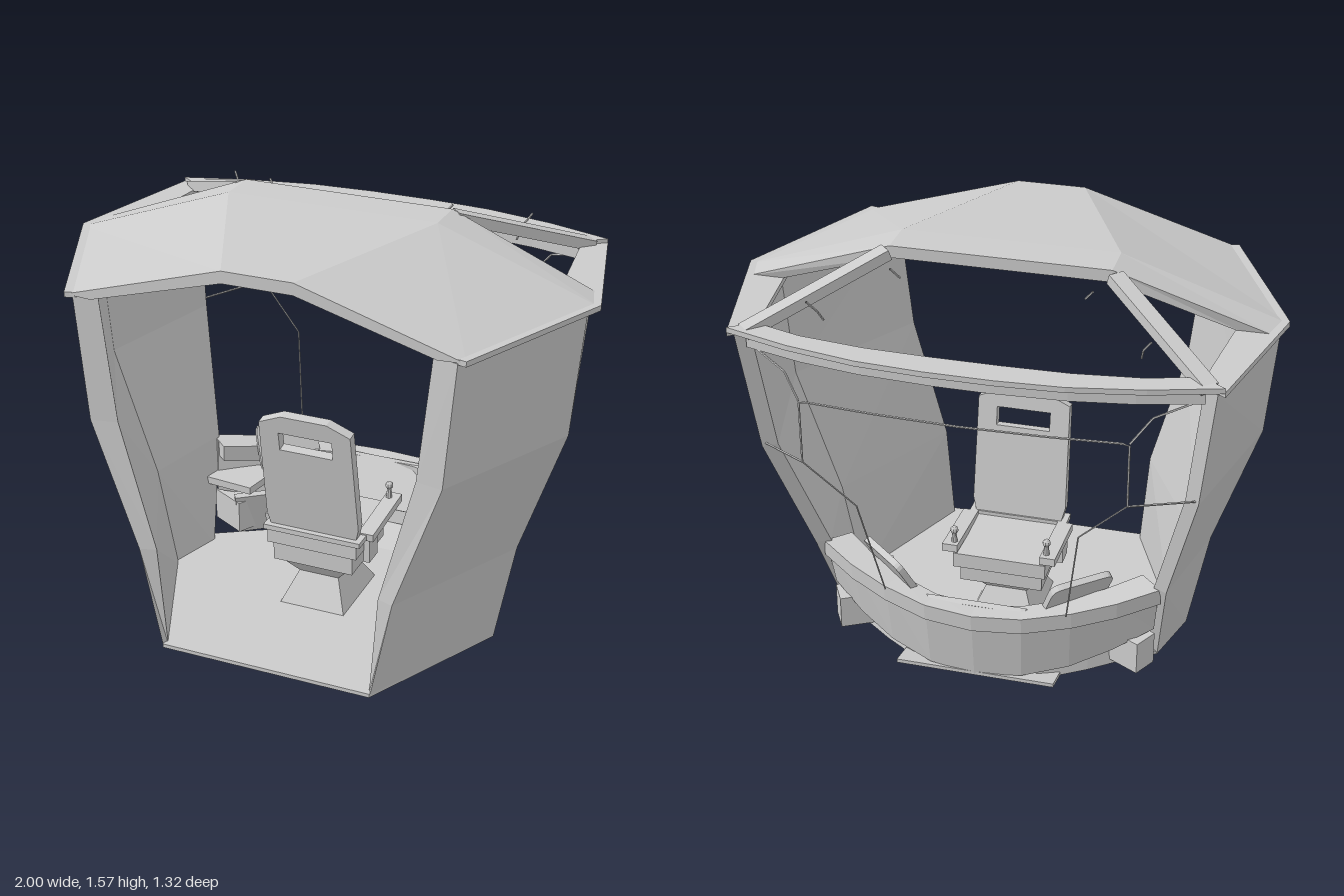
import * as THREE from 'three';

const mat = new THREE.MeshStandardMaterial({ color: 0xcccccc, flatShading: true, side: THREE.DoubleSide });
const V = (p) => new THREE.Vector3(...p);

// Solid skinned over closed loops of equal point count, capped at both ends
function loft(sections) {
  const pos = [];
  const n = sections[0].length;
  const tri = (a, b, c) => pos.push(...a, ...b, ...c);
  for (let s = 0; s < sections.length - 1; s++) {
    const A = sections[s], B = sections[s + 1];
    for (let i = 0; i < n; i++) {
      const j = (i + 1) % n;
      tri(A[i], A[j], B[j]);
      tri(A[i], B[j], B[i]);
    }
  }
  // each loop runs out along one skin and back along the other
  for (const [S, flip] of [[sections[0], true], [sections[sections.length - 1], false]]) {
    for (let i = 0; i < n / 2 - 1; i++) {
      const q = [S[i], S[i + 1], S[n - 2 - i], S[n - 1 - i]];
      if (flip) q.reverse();
      tri(q[0], q[1], q[2]);
      tri(q[0], q[2], q[3]);
    }
  }
  const g = new THREE.BufferGeometry();
  g.setAttribute('position', new THREE.Float32BufferAttribute(pos, 3));
  g.computeVertexNormals();
  return g;
}

// Horizontal plate from a plan outline of [x, z]
function slab(outline, y0, y1) {
  const shape = new THREE.Shape(outline.map(([x, z]) => new THREE.Vector2(x, -z)));
  return new THREE.ExtrudeGeometry(shape, { depth: y1 - y0, bevelEnabled: false })
    .rotateX(-Math.PI / 2).translate(0, y0, 0);
}

// Half outline mirrored into a whole closed one
const mirrorPlan = (half) => [...half, ...half.map(([x, z]) => [-x, z]).reverse()];

function box(w, h, d, x, y, z, rx = 0, ry = 0) {
  return new THREE.BoxGeometry(w, h, d).rotateX(rx).rotateY(ry).translate(x, y, z);
}

// Square bar between two points
function bar(a, b, w, h = w) {
  const o = new THREE.Object3D();
  o.position.copy(V(a)).lerp(V(b), 0.5);
  o.lookAt(V(b));
  o.updateMatrix();
  return new THREE.BoxGeometry(w, h, V(a).distanceTo(V(b))).applyMatrix4(o.matrix);
}

function wire(points, r = 0.004) {
  const path = new THREE.CurvePath();
  for (let i = 1; i < points.length; i++) path.add(new THREE.LineCurve3(V(points[i - 1]), V(points[i])));
  return new THREE.TubeGeometry(path, points.length * 8, r, 5);
}

function roundedRect(w, h, r) {
  const s = new THREE.Shape();
  s.moveTo(-w / 2 + r, -h / 2).lineTo(w / 2 - r, -h / 2).quadraticCurveTo(w / 2, -h / 2, w / 2, -h / 2 + r)
    .lineTo(w / 2, h / 2 - r).quadraticCurveTo(w / 2, h / 2, w / 2 - r, h / 2)
    .lineTo(-w / 2 + r, h / 2).quadraticCurveTo(-w / 2, h / 2, -w / 2, h / 2 - r)
    .lineTo(-w / 2, -h / 2 + r).quadraticCurveTo(-w / 2, -h / 2, -w / 2 + r, -h / 2);
  return s;
}

function plate(shape, depth) {
  return new THREE.ExtrudeGeometry(shape, { depth, bevelEnabled: false, curveSegments: 4 }).translate(0, 0, -depth / 2);
}

export function createModel() {
  const root = new THREE.Group();
  const add = (name, geo, parent = root) => {
    const m = new THREE.Mesh(geo, mat);
    m.name = name;
    parent.add(m);
    return m;
  };
  // Adds the +x part and its reflection
  const addPair = (name, geo, parent = root) => {
    add(name + 'Left', geo, parent);
    const g = geo.index ? geo.toNonIndexed() : geo.clone();
    g.scale(-1, 1, 1);
    const p = g.attributes.position, a = new THREE.Vector3(), b = new THREE.Vector3();
    for (let i = 0; i < p.count; i += 3) {
      a.fromBufferAttribute(p, i + 1);
      b.fromBufferAttribute(p, i + 2);
      p.setXYZ(i + 1, b.x, b.y, b.z);
      p.setXYZ(i + 2, a.x, a.y, a.z);
    }
    g.computeVertexNormals();
    add(name + 'Right', g, parent);
  };

  // Floor
  add('floor', slab(mirrorPlan([[0.41, 0.655], [0.69, 0.11], [0.62, -0.13], [0.3, -0.32]]), 0, 0.015));

  // Side walls: [y, front x, middle x, rear x, rear z]
  const levels = [[0, 0.41, 0.69, 0.62, -0.13], [0.4, 0.49, 0.765, 0.67, -0.3],
    [0.89, 0.66, 0.93, 0.79, -0.46], [1.355, 0.7, 0.97, 0.84, -0.515]];
  addPair('sideWall', loft(levels.map(([y, xf, xm, xr, zr], i) => [
    [xf, y, 0.65], [xm, y, 0.11], [xr, y, zr],
    [xr - 0.05, y, zr + 0.03], [xm - 0.06, y, 0.1], [xf - [0.01, 0.06, 0.1, 0.09][i], y, 0.63],
  ])));

  // Roof canopy: eave and ridge points on the outer skin, then the inner skin
  const roofSection = (ex, ez, rx, ry, rz) => [
    [-ex, 1.36, ez], [-rx, ry, rz], [rx, ry, rz], [ex, 1.36, ez],
    [ex - 0.1, 1.355, ez], [rx, ry - 0.045, rz], [-rx, ry - 0.045, rz], [-ex + 0.1, 1.355, ez]];
  add('roofCanopy', loft([roofSection(0.97, -0.06, 0.4, 1.57, -0.12),
    roofSection(1.0, 0.05, 0.4, 1.57, 0.03), roofSection(0.73, 0.65, 0.13, 1.54, 0.65)]));

  // Eave ring and rear header
  const outer = [[0.73, 0.655], [1, 0.05], [0.865, -0.52], [0.62, -0.595], [0.36, -0.645], [0.12, -0.66]];
  const inner = [[0.12, -0.552], [0.36, -0.545], [0.6, -0.515], [0.78, -0.46], [0.84, 0.05], [0.63, 0.63]];
  addPair('eaveRing', slab([[0.73, 0.655], [1, 0.05], [0.865, -0.52], [0.78, -0.46], [0.84, 0.05], [0.63, 0.63]], 1.35, 1.37));
  add('rearHeaderPlate', slab([...outer.slice(2), ...outer.slice(2).map(([x, z]) => [-x, z]).reverse(),
    ...inner.slice(0, 4).map(([x, z]) => [-x, z]).reverse(), ...inner.slice(0, 4)], 1.365, 1.385));
  const hOut = [[0.8, -0.505], [0.58, -0.565], [0.36, -0.6], [0.1, -0.615]];
  const hIn = [[0.1, -0.55], [0.36, -0.545], [0.58, -0.515], [0.77, -0.47]];
  add('rearHeaderBeam', slab([...hOut, ...hOut.map(([x, z]) => [-x, z]).reverse(),
    ...hIn.map(([x, z]) => [-x, z]).reverse(), ...hIn], 1.31, 1.366));

  // Sloping roof struts, with small hooks
  addPair('roofStrut', bar([0.41, 1.545, -0.12], [0.81, 1.365, -0.5], 0.06, 0.04));
  addPair('strutHook', wire([[0.33, 1.5, -0.22], [0.36, 1.54, -0.24]]));
  addPair('rearHook', wire([[0.56, 1.385, -0.38], [0.57, 1.43, -0.41], [0.6, 1.475, -0.435]]));

  // Curved rear apron: [x, z, top, bottom]
  const half = [[0.64, -0.27, 0.39, 0.19], [0.5, -0.37, 0.37, 0.14], [0.35, -0.445, 0.35, 0.09],
    [0.18, -0.505, 0.335, 0.06], [0, -0.525, 0.33, 0.05]];
  const span = [...half, ...half.slice(0, 4).reverse().map(([x, ...r]) => [-x, ...r])];
  add('rearApron', loft(span.map(([x, z, t, b]) => [
    [x, t, z], [x * 0.97, b, z + 0.035], [x * 0.93, b, z + 0.07], [x * 0.95, t, z + 0.035]])));
  add('apronRim', loft(span.map(([x, z, t]) => [
    [x * 1.01, t + 0.005, z - 0.005], [x * 1.01, t - 0.06, z - 0.002],
    [x * 0.88, t - 0.06, z + 0.075], [x * 0.88, t + 0.005, z + 0.075]])));

  // Under-dash shelf, supports and foot blocks
  addPair('sideShelf', slab([[0.62, -0.15], [0.6, -0.26], [0.34, -0.42], [0.2, -0.45], [0.2, -0.36], [0.4, -0.24], [0.42, -0.13]], 0.24, 0.27));
  addPair('shelfFront', loft([[0.02, 0.03], [0.19, 0]].map(([y, k]) => [
    [0.5, y, -0.16 - k], [0.37, y, -0.26 - k], [0.22, y, -0.37 - k],
    [0.22, y, -0.4 - k], [0.39, y, -0.29 - k], [0.52, y, -0.19 - k]])));
  for (const x of [0.16, 0.2]) addPair('shelfPost', box(0.02, 0.24, 0.02, x, 0.14, -0.4));
  addPair('footBlock', box(0.16, 0.13, 0.1, 0.53, 0.105, -0.24, 0, 0.5));
  add('footRamp', loft([-0.3, 0.3].map((x) => [
    [x, 0.015, -0.3], [x, 0.06, -0.49], [x, 0.045, -0.49], [x, 0, -0.3]])));

  // Instrument screens
  add('centreScreen', plate(roundedRect(0.4, 0.2, 0.03), 0.02).rotateX(-0.6).translate(0, 0.26, -0.4));
  addPair('sideScreen', plate(roundedRect(0.25, 0.2, 0.04), 0.025).rotateX(-0.5).rotateY(-0.72).translate(0.35, 0.375, -0.35));
  addPair('sideScreenMount', box(0.12, 0.1, 0.05, 0.38, 0.3, -0.36, 0, -0.72));

  // Window wires
  add('windowWire', wire([[-0.575, 0.95, -0.62], [-0.575, 1.19, -0.62], [-0.3, 1.195, -0.65], [0, 1.195, -0.66],
    [0.3, 1.195, -0.65], [0.575, 1.19, -0.62], [0.575, 0.95, -0.62]]));
  addPair('upperStay', wire([[0.575, 1.19, -0.62], [0.64, 1.27, -0.57], [0.76, 1.31, -0.51]]));
  addPair('middleStay', wire([[0.575, 0.95, -0.62], [0.78, 0.9, -0.45]]));
  addPair('lowerStay', wire([[0.575, 0.95, -0.62], [0.4, 0.77, -0.575], [0.34, 0.36, -0.475]], 0.003));

  // Seat, facing the window
  const seat = new THREE.Group();
  seat.name = 'seat';
  root.add(seat);
  const back = new THREE.Shape([[-0.17, 0], [0.17, 0], [0.185, 0.06], [0.18, 0.48], [0.09, 0.52], [-0.09, 0.52],
    [-0.18, 0.48], [-0.185, 0.06]].map(([x, y]) => new THREE.Vector2(x, y)));
  back.holes.push(new THREE.Path([[-0.105, 0.37], [-0.105, 0.445], [0.105, 0.445], [0.105, 0.37]]
    .map(([x, y]) => new THREE.Vector2(x, y))));
  add('backrest', plate(back, 0.04).rotateX(0.17).translate(0, 0.335, 0.18), seat);
  add('backrestBase', box(0.39, 0.02, 0.07, 0, 0.335, 0.19), seat);
  add('seatCushion', box(0.36, 0.06, 0.36, 0, 0.3, 0.04), seat);
  add('seatPan', box(0.32, 0.08, 0.32, 0, 0.235, 0.05), seat);
  add('pedestal', loft([[0.015, 0.13, 0.16], [0.13, 0.08, 0.09], [0.2, 0.14, 0.14]].map(([y, w, d]) => [
    [-w, y, 0.06 + d], [w, y, 0.06 + d], [w, y, 0.06 - d], [-w, y, 0.06 - d]])), seat);
  addPair('armrest', box(0.06, 0.03, 0.3, 0.19, 0.345, 0.0, 0.08), seat);
  addPair('armrestSupport', box(0.025, 0.12, 0.08, 0.19, 0.28, 0.1), seat);
  addPair('controlStick', new THREE.CylinderGeometry(0.008, 0.014, 0.06, 8).translate(0.18, 0.385, -0.115), seat);
  addPair('stickKnob', new THREE.SphereGeometry(0.016, 8, 6).translate(0.18, 0.42, -0.115), seat);

  return root;
}
